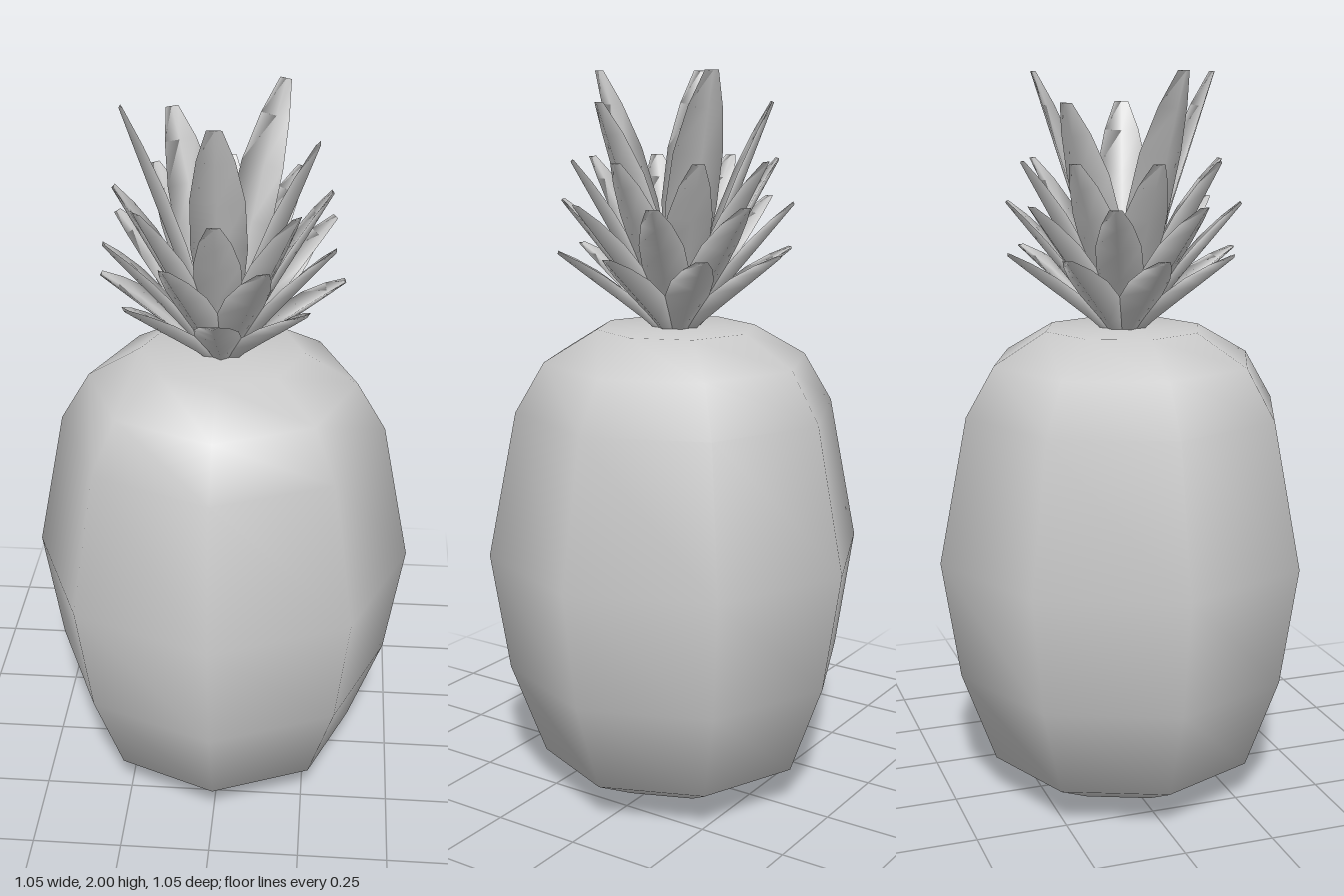
import * as THREE from 'three';

const material = new THREE.MeshStandardMaterial({ color: 0xcccccc, side: THREE.DoubleSide });

// One leaf: arched lens sections swept along a path in the y-z plane, leaning toward +z
function leafGeometry(tipRadius, tipY, width) {
  const path = new THREE.QuadraticBezierCurve3(
    new THREE.Vector3(0, 1.29, 0.02),
    new THREE.Vector3(0, 1.31 + (tipY - 1.31) * 0.5, tipRadius * 0.42),
    new THREE.Vector3(0, tipY, tipRadius)
  );
  // [position along the path, share of the full width]
  const sections = [[0, 0.4], [0.25, 0.74], [0.5, 1], [0.7, 0.95], [0.87, 0.65], [1, 0.26]];
  const positions = [], index = [];
  sections.forEach(([t, share]) => {
    const p = path.getPoint(t), d = path.getTangent(t);
    const half = width * share / 2, arch = 0.028 * share;
    // offsets: across the leaf, and toward its outer face
    const ring = [[-half, -arch * 0.5], [0, -arch * 0.15], [half, -arch * 0.5], [0, arch * 0.6]];
    ring.forEach(([across, out]) =>
      positions.push(across, p.y - d.z * out, p.z + d.y * out));
  });
  for (let s = 0; s < sections.length - 1; s++) {
    for (let i = 0; i < 4; i++) {
      const a = s * 4 + i, b = s * 4 + (i + 1) % 4;
      index.push(a, a + 4, b, b, a + 4, b + 4);
    }
  }
  const e = (sections.length - 1) * 4;
  index.push(0, 1, 2, 0, 2, 3, e, e + 2, e + 1, e, e + 3, e + 2);
  const geometry = new THREE.BufferGeometry();
  geometry.setAttribute('position', new THREE.Float32BufferAttribute(positions, 3));
  geometry.setIndex(index);
  geometry.computeVertexNormals();
  return geometry;
}

export function createModel() {
  const model = new THREE.Group();
  model.name = 'pineapple';

  // Eight-sided fruit
  const profile = [
    [0, 0], [0.23, 0.03], [0.38, 0.11], [0.475, 0.37], [0.525, 0.7],
    [0.445, 1.1], [0.365, 1.235], [0.22, 1.32], [0, 1.325]
  ].map(([r, y]) => new THREE.Vector2(r, y));
  const fruit = new THREE.Mesh(new THREE.LatheGeometry(profile, 8), material);
  fruit.name = 'fruit';
  model.add(fruit);

  // Crown: tiers of leaves, from the low spreading ones to the tall middle ones
  const tiers = [
    { name: 'lowerLeaves', count: 8, turn: 0, radius: 0.32, heights: [1.53], width: 0.12 },
    { name: 'lowerMiddleLeaves', count: 8, turn: 0.5, radius: 0.315, heights: [1.66], width: 0.125 },
    { name: 'upperMiddleLeaves', count: 8, turn: 0, radius: 0.28, heights: [1.77], width: 0.125 },
    { name: 'topLeaves', count: 5, turn: 0, radius: 0.255, heights: [2, 1.92, 2, 1.92, 2], width: 0.145 }
  ];
  const crown = new THREE.Group();
  crown.name = 'crown';
  for (const tier of tiers) {
    const group = new THREE.Group();
    group.name = tier.name;
    for (let i = 0; i < tier.count; i++) {
      const height = tier.heights[i % tier.heights.length];
      const leaf = new THREE.Mesh(leafGeometry(tier.radius, height, tier.width), material);
      leaf.name = 'leaf';
      leaf.rotation.y = (i + tier.turn) * Math.PI * 2 / tier.count;
      group.add(leaf);
    }
    crown.add(group);
  }
  model.add(crown);
  return model;
}
